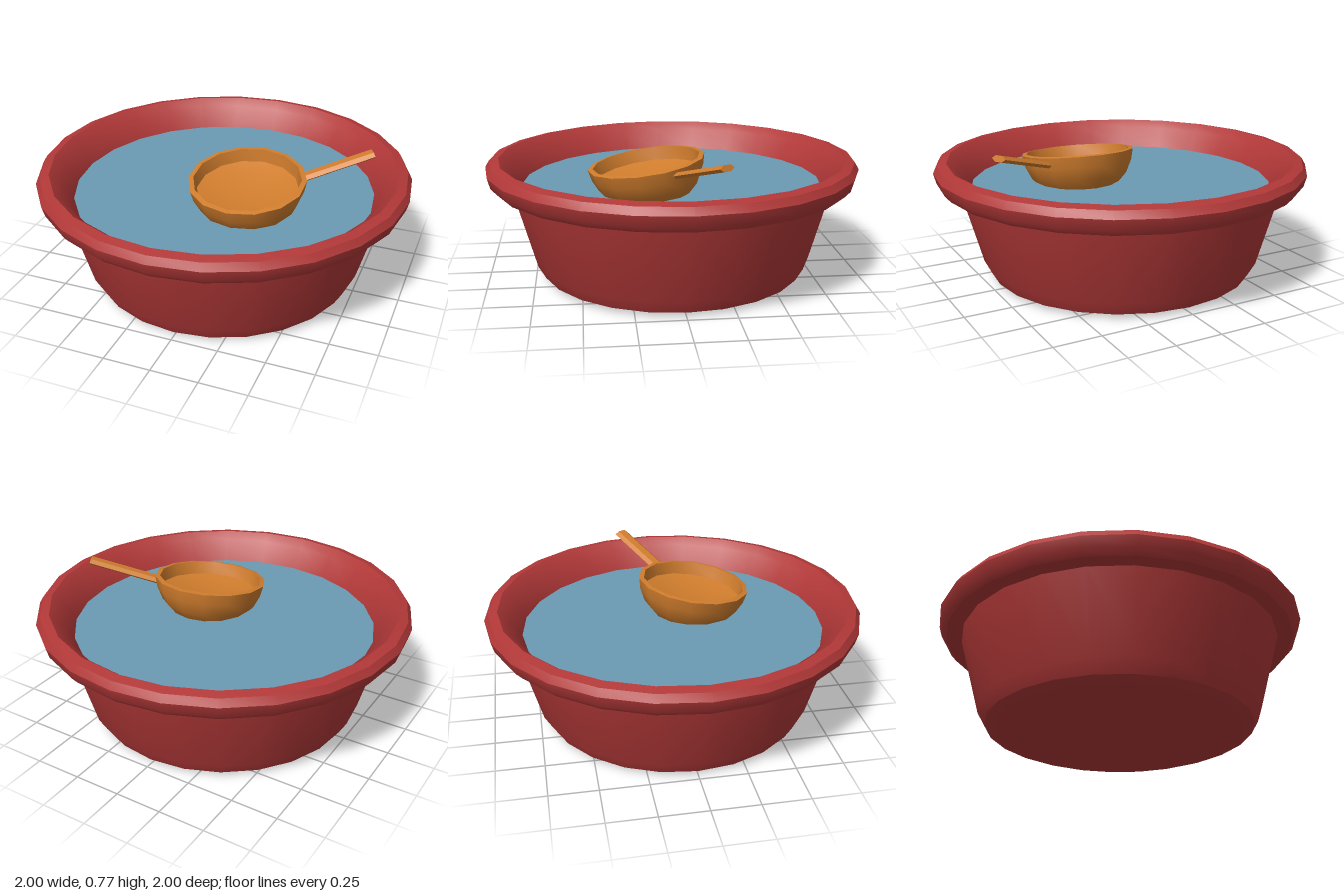
import * as THREE from 'three';
import { toCreasedNormals } from 'three/addons/utils/BufferGeometryUtils.js';

const red = new THREE.MeshStandardMaterial({ color: 0xb23838 });
red.name = 'red clay';
const blue = new THREE.MeshStandardMaterial({ color: 0x6a9ab4 });
blue.name = 'water blue';
const orange = new THREE.MeshStandardMaterial({ color: 0xd07d2d });
orange.name = 'orange wood';

// Closed lathe with sharp edges kept where the profile bends strongly
function turned(name, profile, sides, crease, material) {
  const points = profile.map(([r, y]) => new THREE.Vector2(r, y));
  const geometry = toCreasedNormals(new THREE.LatheGeometry(points, sides), crease);
  const mesh = new THREE.Mesh(geometry, material);
  mesh.name = name;
  return mesh;
}

export function createModel() {
  const model = new THREE.Group();
  model.name = 'waterBasin';

  // Basin: foot, flared wall, thick rim, inner wall and floor
  model.add(turned('basin', [
    [0, 0], [0.66, 0.003], [0.717, 0.025], [0.757, 0.095], [0.872, 0.512],
    [0.955, 0.512], [0.985, 0.545], [1, 0.6], [0.978, 0.637], [0.93, 0.648],
    [0.885, 0.61], [0.81, 0.5], [0.69, 0.08], [0, 0.06],
  ], 24, 0.6, red));

  // Water surface
  const water = new THREE.Mesh(new THREE.CircleGeometry(0.812, 24), blue);
  water.name = 'water';
  water.rotation.x = -Math.PI / 2;
  water.position.y = 0.5;
  model.add(water);

  // Floating ladle bowl, tipped toward the front
  const bowl = turned('ladleBowl', [
    [0, -0.24], [0.11, -0.23], [0.2, -0.195], [0.262, -0.13], [0.295, -0.06],
    [0.308, 0], [0.282, 0.004], [0.268, -0.065], [0.2, -0.085], [0.1, -0.1], [0, -0.105],
  ], 14, 0.6, orange);
  bowl.position.set(0.185, 0.655, 0.152);
  bowl.rotation.x = 0.14;

  // Flattened six-sided handle rising from the bowl
  const start = new THREE.Vector3(0.425, 0.636, 0.012);
  const end = new THREE.Vector3(0.762, 0.752, -0.178);
  const bar = new THREE.CylinderGeometry(0.037, 0.037, start.distanceTo(end), 6);
  bar.rotateY(Math.PI / 6).rotateX(Math.PI / 2).scale(1.12, 0.5, 1);
  const handle = new THREE.Mesh(toCreasedNormals(bar, 0.4), orange);
  handle.name = 'ladleHandle';
  handle.position.copy(start).lerp(end, 0.5);
  handle.lookAt(end);

  const ladle = new THREE.Group();
  ladle.name = 'ladle';
  ladle.add(bowl, handle);
  model.add(ladle);
  return model;
}
